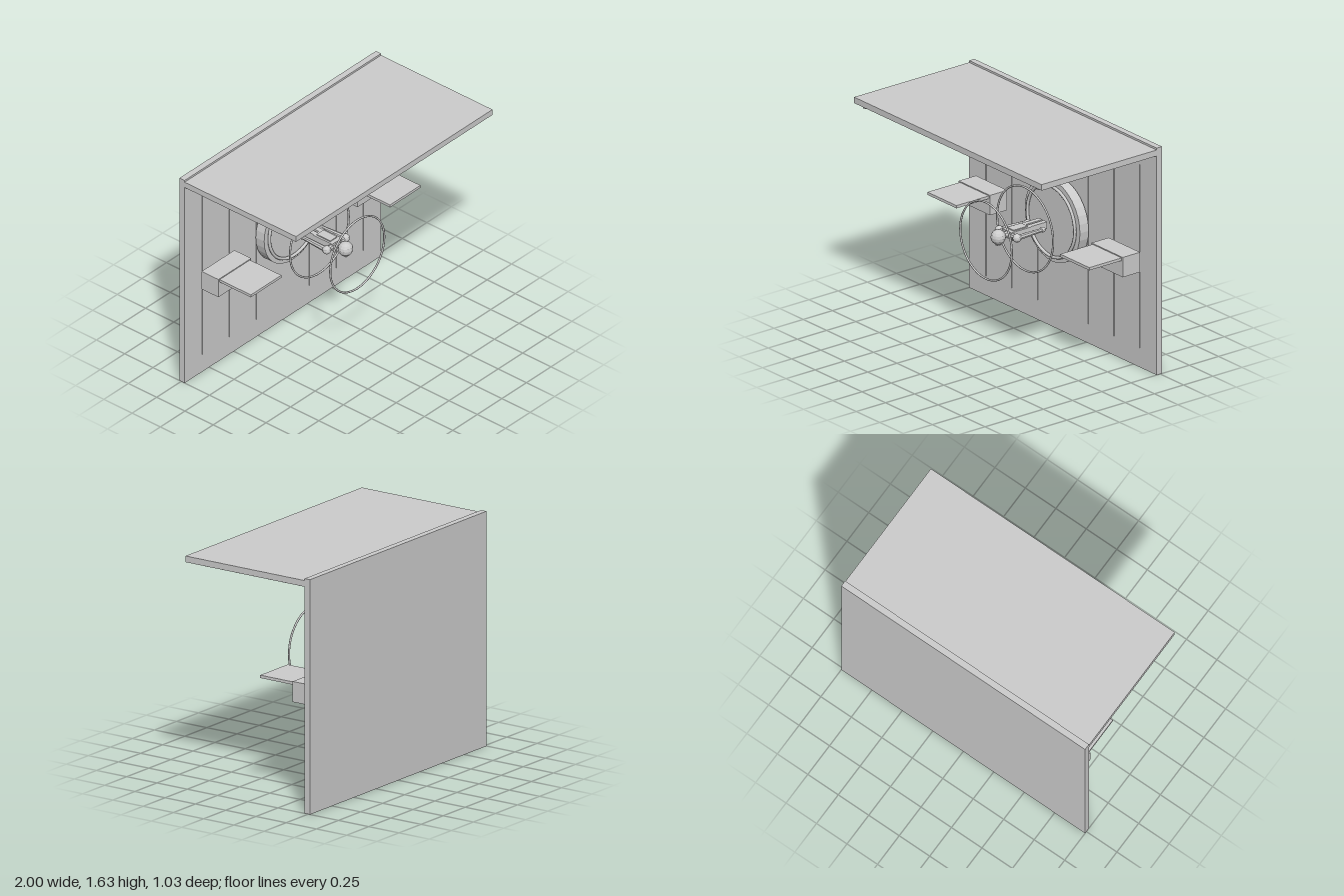
import * as THREE from 'three';

const material = new THREE.MeshStandardMaterial({ color: 0xcccccc });
const flat = new THREE.MeshStandardMaterial({ color: 0xcccccc, flatShading: true });

function add(parent, name, geometry, x, y, z, mat = material) {
  const mesh = new THREE.Mesh(geometry, mat);
  mesh.name = name;
  mesh.position.set(x, y, z);
  parent.add(mesh);
  return mesh;
}

// Box given by its min and max on each axis
function box(parent, name, [x0, x1], [y0, y1], [z0, z1]) {
  return add(parent, name, new THREE.BoxGeometry(x1 - x0, y1 - y0, z1 - z0),
    (x0 + x1) / 2, (y0 + y1) / 2, (z0 + z1) / 2);
}

// Tapered rod between two points
function rod(parent, name, a, b, r0, r1) {
  const from = new THREE.Vector3(...a), to = new THREE.Vector3(...b);
  const dir = to.clone().sub(from);
  const mesh = add(parent, name, new THREE.CylinderGeometry(r1, r0, dir.length(), 8), 0, 0, 0, flat);
  mesh.position.copy(from).add(to).multiplyScalar(0.5);
  mesh.quaternion.setFromUnitVectors(new THREE.Vector3(0, 1, 0), dir.normalize());
  return mesh;
}

function ball(parent, name, r, x, y, z) {
  return add(parent, name, new THREE.SphereGeometry(r, 12, 8), x, y, z, flat);
}

function createFigure(cy) {
  // Floating figure lying along z, head to the front
  const figure = new THREE.Group();
  figure.name = 'floatingFigure';
  ball(figure, 'head', 0.052, 0, cy, 0.084);
  box(figure, 'chin', [-0.014, 0.014], [cy - 0.058, cy - 0.04], [0.066, 0.1]);
  rod(figure, 'neck', [0, cy, 0.05], [0, cy, -0.01], 0.022, 0.026);
  box(figure, 'torso', [-0.05, 0.05], [cy - 0.026, cy + 0.026], [-0.16, 0.01]);
  box(figure, 'backpack', [-0.035, 0.035], [cy + 0.01, cy + 0.033], [-0.14, -0.02]);
  ball(figure, 'chestUnit', 0.025, 0, cy - 0.036, -0.047);
  for (const s of [-1, 1]) {
    ball(figure, 'shoulder', 0.03, s * 0.095, cy, 0);
    rod(figure, 'collar', [s * 0.04, cy, 0], [s * 0.09, cy, 0], 0.02, 0.018);
    rod(figure, 'arm', [s * 0.095, cy, 0], [s * 0.085, cy, -0.23], 0.02, 0.014);
    ball(figure, 'hand', 0.019, s * 0.085, cy, -0.23);
    box(figure, 'leg', [s * 0.026 - 0.018, s * 0.026 + 0.018], [cy - 0.026, cy + 0.026], [-0.3, -0.16]);
  }
  return figure;
}

export function createModel() {
  const model = new THREE.Group();
  model.name = 'displayBay';
  const cy = 0.82;

  // Back wall with thin vertical seams
  box(model, 'backWall', [-1, 1], [0, 1.635], [-0.515, -0.47]);
  for (const x of [-0.82, -0.545, -0.27, 0.27, 0.545, 0.82]) {
    box(model, 'wallSeam', [x - 0.003, x + 0.003], [0.14, 1.46], [-0.471, -0.465]);
  }

  // Canopy with side rails and cross strips underneath
  box(model, 'canopy', [-1, 1], [1.578, 1.621], [-0.47, 0.515]);
  for (const x of [-0.925, 0.925]) {
    box(model, 'canopyRail', [x - 0.0125, x + 0.0125], [1.555, 1.579], [-0.47, 0.49]);
  }
  for (const z of [-0.36, -0.12, 0.12, 0.36]) {
    box(model, 'canopyStrip', [-0.87, 0.87], [1.566, 1.579], [z - 0.008, z + 0.008]);
  }

  // Round port and floating hoops
  const disc = new THREE.CylinderGeometry(0.294, 0.294, 0.075, 32);
  disc.rotateX(Math.PI / 2);
  add(model, 'portDisc', disc, 0, cy, -0.4175, flat);
  for (const [name, radius, tube, z] of [
    ['portRim', 0.253, 0.011, -0.369],
    ['rearHoop', 0.299, 0.007, -0.147],
    ['frontHoop', 0.275, 0.007, 0.188],
  ]) {
    add(model, name, new THREE.TorusGeometry(radius, tube, 8, 64), 0, cy, z);
  }

  // Side consoles, each a block with a tray in front
  for (const s of [-1, 1]) {
    const station = new THREE.Group();
    station.name = s > 0 ? 'leftConsole' : 'rightConsole';
    station.position.x = s * 0.708;
    box(station, 'consoleBlock', [-0.167, 0.167], [0.713, 0.856], [-0.428, -0.28]);
    box(station, 'consoleTray', [-0.155, 0.155], [0.829, 0.849], [-0.28, -0.003]);
    model.add(station);
  }

  model.add(createFigure(cy));
  return model;
}
